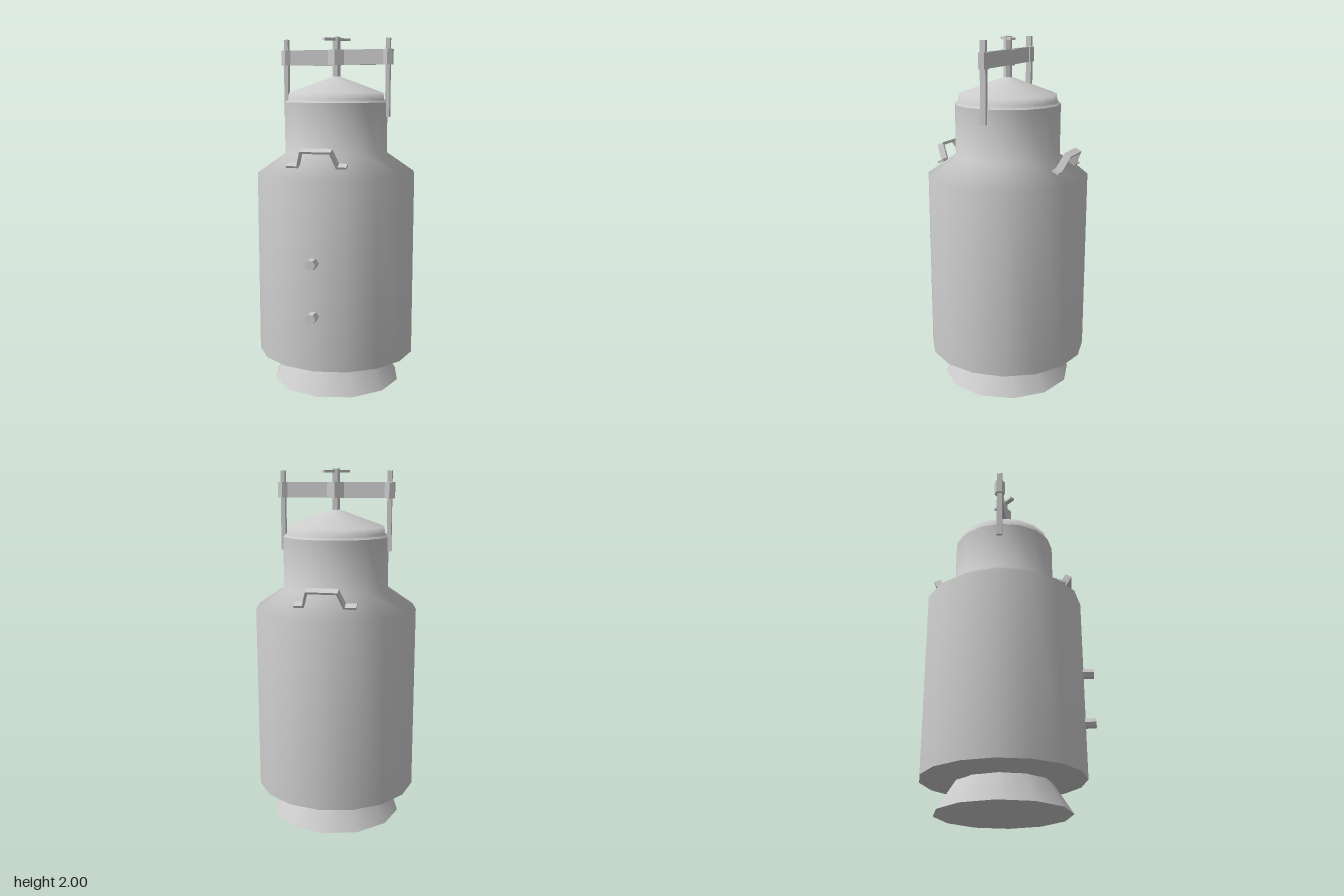
import * as THREE from 'three';

const smooth = new THREE.MeshStandardMaterial({ color: 0xcccccc });
const flat = new THREE.MeshStandardMaterial({ color: 0xcccccc, flatShading: true });

export function createModel() {
  const model = new THREE.Group();
  model.name = 'pressureTank';
  model.position.z = -0.03;
  const root = new THREE.Group();
  root.add(model);

  const add = (name, geometry, material, x = 0, y = 0, z = 0) => {
    const mesh = new THREE.Mesh(geometry, material);
    mesh.name = name;
    mesh.position.set(x, y, z);
    model.add(mesh);
    return mesh;
  };
  const points = (list) => list.map(([a, b]) => new THREE.Vector2(a, b));
  const lathe = (list, sides = 16) => new THREE.LatheGeometry(points(list), sides);
  const extrude = (list, depth) =>
    new THREE.ExtrudeGeometry(new THREE.Shape(points(list)), { depth, bevelEnabled: false });

  // Tank: flared foot, underside, body with shoulder and neck, lid
  add('foot', new THREE.CylinderGeometry(0.265, 0.375, 0.17, 12), smooth, 0, 0.085);
  add('underside', lathe([[0, 0.16], [0.265, 0.16], [0.457, 0.183]]), smooth);
  add('body', lathe([[0.457, 0.183], [0.457, 1.235], [0.297, 1.345], [0.297, 1.635]]), smooth);
  add('lid', lathe([[0.297, 1.635], [0.278, 1.65], [0.273, 1.688], [0, 1.787]]), smooth);

  // Two hexagonal spouts on the front
  for (const y of [0.79, 0.495]) {
    const geometry = new THREE.CylinderGeometry(0.029, 0.029, 0.1, 6);
    geometry.rotateY(Math.PI / 2).rotateX(Math.PI / 2);
    add('spout', geometry, flat, 0, y, 0.465);
  }

  // Bent-strip carrying handles, tilted outward at front and back
  const outer = [[-0.18, -0.038], [-0.12, -0.038], [-0.09, 0.052], [0.083, 0.052], [0.109, -0.038], [0.157, -0.038]];
  const inner = [[0.157, -0.05], [0.101, -0.05], [0.075, 0.04], [-0.082, 0.04], [-0.112, -0.05], [-0.18, -0.05]];
  for (const side of [1, -1]) {
    const geometry = extrude([...outer, ...inner], 0.04).translate(0, 0, -0.02);
    add('carryHandle', geometry, flat, 0, 1.341, side * 0.371).rotation.x = side * 0.45;
  }

  // Yoke bar: thin bar with a hexagonal swelling in the middle and hexagonal ends
  const half = [[0.05, 0.011], [0.273, 0.011], [0.273, 0.016], [0.3, 0.031], [0.327, 0.016]];
  const quarter = [[0, 0.044], [0.048, 0.014], ...half.slice(1)];
  const back = quarter.map(([x, z]) => [x, -z]).reverse();
  const right = [...quarter, ...back];
  const left = right.slice(1, -1).map(([x, z]) => [-x, z]).reverse();
  const bar = extrude([...right, ...left], 0.085).rotateX(-Math.PI / 2);
  add('yokeBar', bar, flat, 0, 1.844);

  // Rods hanging from both ends of the yoke
  for (const side of [1, -1]) {
    add('yokeRod', new THREE.BoxGeometry(0.024, 0.435, 0.032), flat, side * 0.3, 1.772);
  }

  // Clamping screw with its turning bar
  const screw = new THREE.CylinderGeometry(0.023, 0.023, 0.235, 6).rotateY(Math.PI / 2);
  add('clampScrew', screw, flat, 0, 1.8825);
  add('screwBar', new THREE.BoxGeometry(0.165, 0.013, 0.028), flat, 0, 1.987).rotation.y = Math.PI / 4;

  return root;
}
